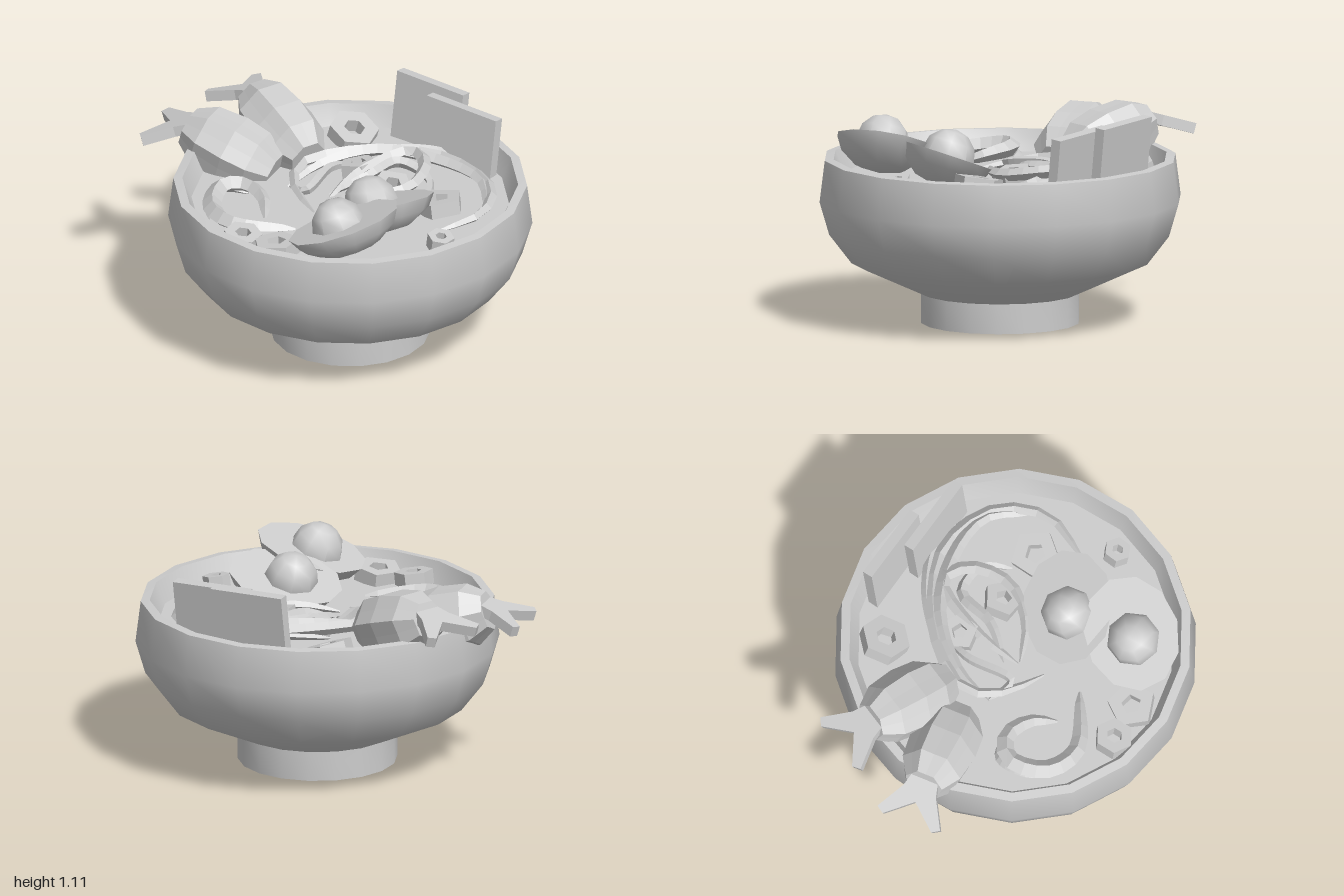
import * as THREE from 'three';
import { toCreasedNormals } from 'three/addons/utils/BufferGeometryUtils.js';

const UP = new THREE.Vector3(0, 1, 0);
const CX = 0.02, CZ = 0.055, SOUP_Y = 0.75;

export function createModel() {
  const model = new THREE.Group();
  model.name = 'noodleBowl';
  const clay = new THREE.MeshStandardMaterial({ color: 0xcccccc });
  clay.name = 'light grey clay';

  function add(parent, name, geometry, x = 0, y = 0, z = 0) {
    const mesh = new THREE.Mesh(geometry, clay);
    mesh.name = name;
    mesh.position.set(x, y, z);
    parent.add(mesh);
    return mesh;
  }
  function lathe(profile, sides) {
    return new THREE.LatheGeometry(profile.map(([r, y]) => new THREE.Vector2(r, y)), sides);
  }
  function flat(geometry) {
    const g = geometry.index ? geometry.toNonIndexed() : geometry;
    g.computeVertexNormals();
    return g;
  }
  const smooth = (geometry, angle = 0.72) => toCreasedNormals(geometry, angle);

  // Bowl with foot, rounded wall and thick rim
  add(model, 'bowl', smooth(lathe([
    [0, 0], [0.41, 0], [0.41, 0.155], [0.77, 0.32], [0.885, 0.47], [0.935, 0.64],
    [0.908, 0.855], [0.862, 0.86], [0.83, 0.78], [0.79, 0.7],
  ], 18)), CX, 0, CZ);

  // Soup surface
  const soup = new THREE.CircleGeometry(0.815, 18, Math.PI / 2).rotateX(-Math.PI / 2);
  add(model, 'soup', soup, CX, SOUP_Y, CZ);

  // Shrimp: ribbed barrel body and forked tail
  function shrimp(name, x, y, z, dx, dz, tailY) {
    const group = new THREE.Group();
    group.name = name;
    group.position.set(x, y, z);
    group.rotation.y = Math.atan2(dx, dz);
    model.add(group);

    const profile = [[0, -0.26], [0.1, -0.26], [0.16, -0.16], [0.178, 0], [0.165, 0.14], [0.1, 0.25], [0, 0.25]];
    const body = lathe(profile, 14);
    const p = body.attributes.position;
    for (let i = 0; i < p.count; i++) {
      const rib = Math.floor(i / profile.length) % 2 ? 0.92 : 1.03;
      p.setX(i, p.getX(i) * rib);
      p.setZ(i, p.getZ(i) * rib);
    }
    add(group, name + 'Body', flat(body)).rotation.x = Math.PI / 2 + 0.32;

    const fork = new THREE.Shape([
      [-0.06, -0.06], [0.06, -0.06], [0.09, 0.06], [0.175, 0.21], [0.135, 0.235],
      [0, 0.12], [-0.135, 0.235], [-0.175, 0.21], [-0.09, 0.06],
    ].map(([u, w]) => new THREE.Vector2(u, w)));
    const tail = new THREE.ExtrudeGeometry(fork, { depth: 0.055, bevelEnabled: false });
    tail.rotateX(-Math.PI / 2);
    add(group, name + 'Tail', tail, 0, tailY - y, -0.22).rotation.x = -0.3;
  }
  shrimp('outerShrimp', -0.53, 0.835, -0.41, 0.85, 0.53, 0.91);
  shrimp('innerShrimp', -0.26, 0.88, -0.54, 0.46, 0.89, 0.96);

  // Egg halves with domed yolks, tipped towards the back
  function egg(name, x, y, z, normal, turn) {
    const group = new THREE.Group();
    group.name = name;
    group.position.set(x, y, z);
    group.quaternion.setFromUnitVectors(UP, new THREE.Vector3(...normal).normalize());
    group.rotateY(turn);
    model.add(group);
    const white = lathe([[0, -0.17], [0.14, -0.14], [0.23, -0.07], [0.265, 0], [0, 0]], 11);
    white.scale(1.13, 1, 0.93);
    add(group, name + 'White', smooth(white));
    const yolk = new THREE.SphereGeometry(0.14, 8, 6);
    add(group, name + 'Yolk', smooth(yolk, 0.9), -0.03, 0, 0);
  }
  egg('middleEgg', 0.12, 0.885, 0.34, [-0.12, 0.93, -0.33], -0.2);
  egg('frontEgg', -0.09, 0.935, 0.64, [-0.28, 0.92, -0.2], 0.1);

  // Seaweed sheets leaning against the rim
  function sheet(name, x, z, length, top) {
    const height = 0.44;
    const mesh = add(model, name, new THREE.BoxGeometry(length, height, 0.055), x, top - height / 2, z);
    mesh.rotation.set(-0.12, -0.76, -0.03, 'YXZ');
  }
  sheet('backSeaweed', 0.5, -0.5, 0.42, 1.105);
  sheet('sideSeaweed', 0.63, -0.26, 0.44, 1.075);

  // Spring onion rings: x, z, radius, sides, tilt
  [
    [0.12, -0.61, 0.13, 6, 0.3], [0.1, -0.22, 0.1, 5, -0.15], [0.24, 0.02, 0.105, 5, 0.2],
    [0.46, 0.23, 0.13, 5, -0.15], [-0.59, 0.47, 0.1, 6, 0.12], [-0.43, 0.59, 0.125, 5, -0.1],
    [0.41, 0.64, 0.07, 6, 0.15],
  ].forEach(([x, z, radius, sides, tilt], i) => {
    const polygon = (r) => Array.from({ length: sides }, (_, k) => {
      const a = (k / sides) * Math.PI * 2 + i;
      return new THREE.Vector2(r * Math.cos(a), r * Math.sin(a));
    });
    const shape = new THREE.Shape(polygon(radius));
    shape.holes.push(new THREE.Path(polygon(radius * 0.42)));
    const ring = new THREE.ExtrudeGeometry(shape, { depth: 0.075, bevelEnabled: false });
    ring.translate(0, 0, -0.035).rotateX(-Math.PI / 2);
    add(model, 'onionRing' + (i + 1), ring, x, SOUP_Y + 0.035, z).rotation.set(tilt, 0, -tilt * 0.6);
  });

  // Noodles: tapered four-sided strands following curves of [x, z, height above soup]
  function noodle(name, points, radius) {
    const curve = new THREE.CatmullRomCurve3(
      points.map(([x, z, h]) => new THREE.Vector3(x, SOUP_Y + h, z)));
    const steps = 18, sides = 4;
    const tube = new THREE.TubeGeometry(curve, steps, radius, sides);
    const p = tube.attributes.position, v = new THREE.Vector3();
    for (let i = 0; i < p.count; i++) {
      const t = Math.floor(i / (sides + 1)) / steps;
      const c = curve.getPointAt(t);
      v.fromBufferAttribute(p, i).sub(c);
      v.multiplyScalar(0.15 + 0.85 * Math.sqrt(Math.sin(Math.PI * t) + 1e-6)).add(c);
      p.setXYZ(i, v.x, v.y, v.z);
    }
    add(model, name, flat(tube));
  }
  noodle('leftNoodle', [
    [-0.44, 0.2, 0], [-0.43, 0.06, 0.04], [-0.5, -0.07, 0.06], [-0.62, -0.08, 0.06],
    [-0.7, 0.1, 0.03], [-0.62, 0.27, 0.02], [-0.3, 0.34, 0]], 0.05);
  noodle('leftInnerNoodle', [
    [-0.72, 0.18, 0], [-0.7, 0, 0.03], [-0.6, -0.12, 0.02], [-0.48, -0.08, 0]], 0.03);
  noodle('outerNoodle', [
    [0.4, 0.47, 0], [0.66, 0.33, 0.02], [0.74, 0.06, 0.03], [0.55, -0.25, 0.05],
    [0.15, -0.35, 0.07], [-0.2, -0.26, 0.06], [-0.25, -0.06, 0.03], [-0.18, 0.17, 0]], 0.036);
  noodle('crossNoodle', [
    [-0.28, -0.13, 0], [-0.1, -0.26, 0.05], [0.2, -0.31, 0.09], [0.5, -0.2, 0.07],
    [0.7, 0, 0.04], [0.7, 0.25, 0]], 0.036);
  noodle('farNoodle', [
    [0.05, -0.36, 0.02], [0.35, -0.36, 0.06], [0.6, -0.27, 0.05], [0.72, -0.1, 0]], 0.025);
  noodle('innerLoopNoodle', [
    [-0.1, 0.05, 0], [0.08, -0.13, 0.06], [0.38, -0.27, 0.09], [0.43, -0.12, 0.09],
    [0.32, 0.07, 0.06], [0.1, 0.12, 0.05], [-0.1, 0.06, 0.02]], 0.034);
  noodle('innerStrandNoodle', [
    [-0.08, -0.02, 0], [0.12, -0.06, 0.07], [0.3, -0.18, 0.08], [0.44, -0.05, 0.04], [0.42, 0.1, 0]], 0.03);
  noodle('shortNoodle', [
    [-0.27, -0.13, 0], [-0.2, 0, 0.04], [-0.05, -0.2, 0.06], [0.1, -0.3, 0.02]], 0.026);

  return model;
}
